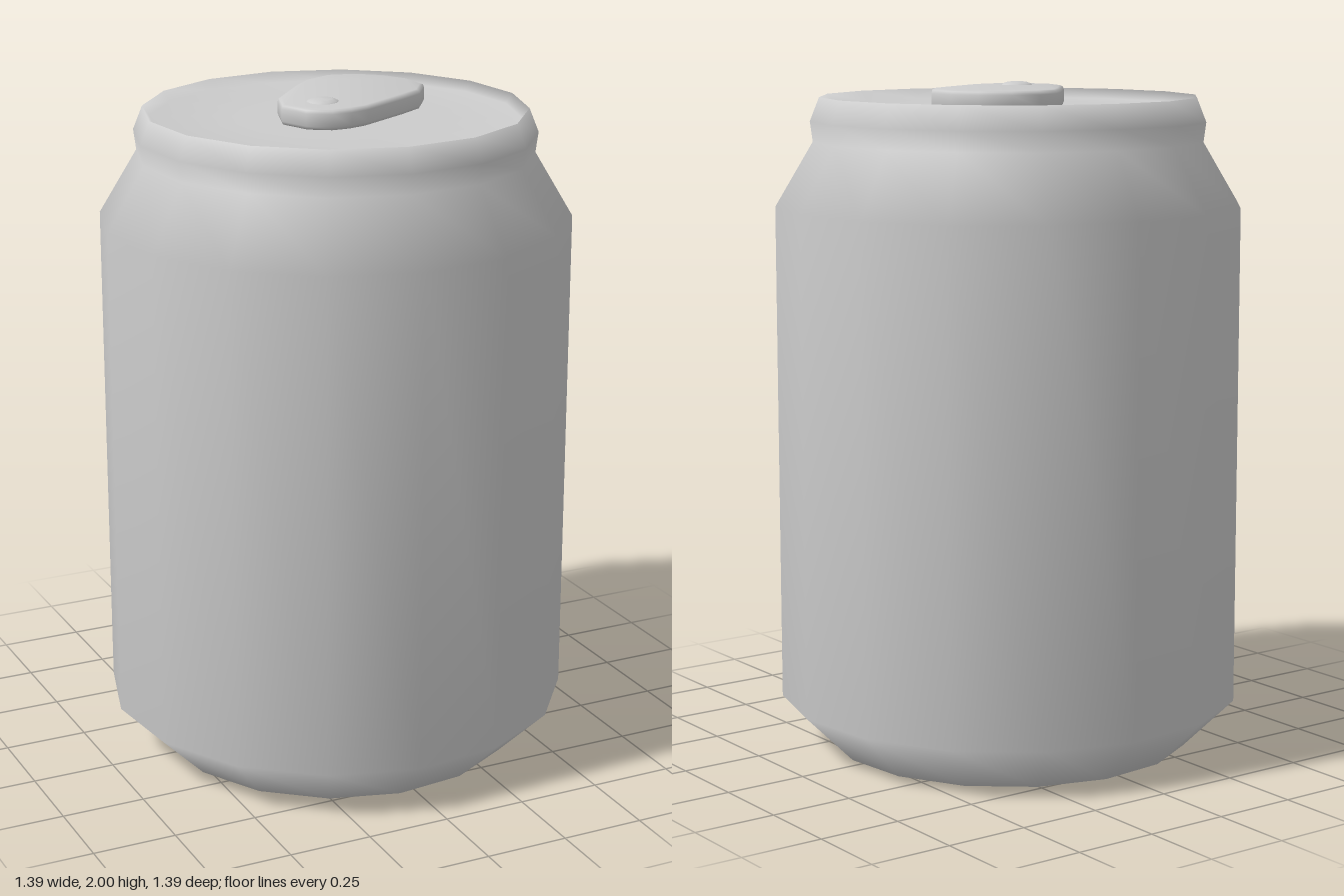
import * as THREE from 'three';
import { toCreasedNormals } from 'three/addons/utils/BufferGeometryUtils.js';

const SIDES = 16;
const TURN = -THREE.MathUtils.degToRad(5);

export function createModel() {
  const model = new THREE.Group();
  model.name = 'drinkCan';
  const metal = new THREE.MeshStandardMaterial({ color: 0xcccccc });

  const add = (name, geometry) => {
    const mesh = new THREE.Mesh(geometry, metal);
    mesh.name = name;
    model.add(mesh);
    return mesh;
  };

  // Can shell: domed base, chamfer, wall, shoulder, neck, rim and sunken lid
  const profile = [
    [0, 0.04], [0.3, 0.03], [0.5, 0.005], [0.547, 0],
    [0.698, 0.15], [0.698, 1.64],
    [0.585, 1.83], [0.593, 1.89], [0.565, 1.96],
    [0.545, 1.93], [0.3, 1.93], [0, 1.93],
  ].map(([r, y]) => new THREE.Vector2(r, y));
  add('canBody', new THREE.LatheGeometry(profile, SIDES, TURN));

  // Pull tab: rounded outline in x and z, extruded upwards
  const outline = [
    [-0.19, 0.04], [-0.155, 0.13], [-0.09, 0.172], [-0.03, 0.172], [0.03, 0.155],
    [0.2, 0.06], [0.27, 0.015], [0.325, -0.065], [0.32, -0.155], [0.28, -0.235],
    [0.205, -0.295], [0.12, -0.315], [0.03, -0.275], [-0.03, -0.215], [-0.155, -0.065],
  ].map(([x, z]) => new THREE.Vector2(x, -z));
  const bevel = 0.012;
  const tab = new THREE.ExtrudeGeometry(new THREE.Shape(outline), {
    depth: 0.036,
    bevelEnabled: true,
    bevelThickness: bevel,
    bevelSize: bevel,
    bevelOffset: -bevel,
    bevelSegments: 2,
  });
  tab.rotateX(-Math.PI / 2);
  tab.translate(0, 1.99 - 0.036 - bevel, 0);
  add('pullTab', toCreasedNormals(tab, Math.PI / 3));

  // Rivet: low dome on the tab
  const dome = [[0.05, 1.985], [0.045, 1.993], [0.028, 1.999], [0, 2]]
    .map(([r, y]) => new THREE.Vector2(r, y));
  add('rivet', new THREE.LatheGeometry(dome, 10)).position.set(-0.062, 0, 0.045);

  return model;
}
